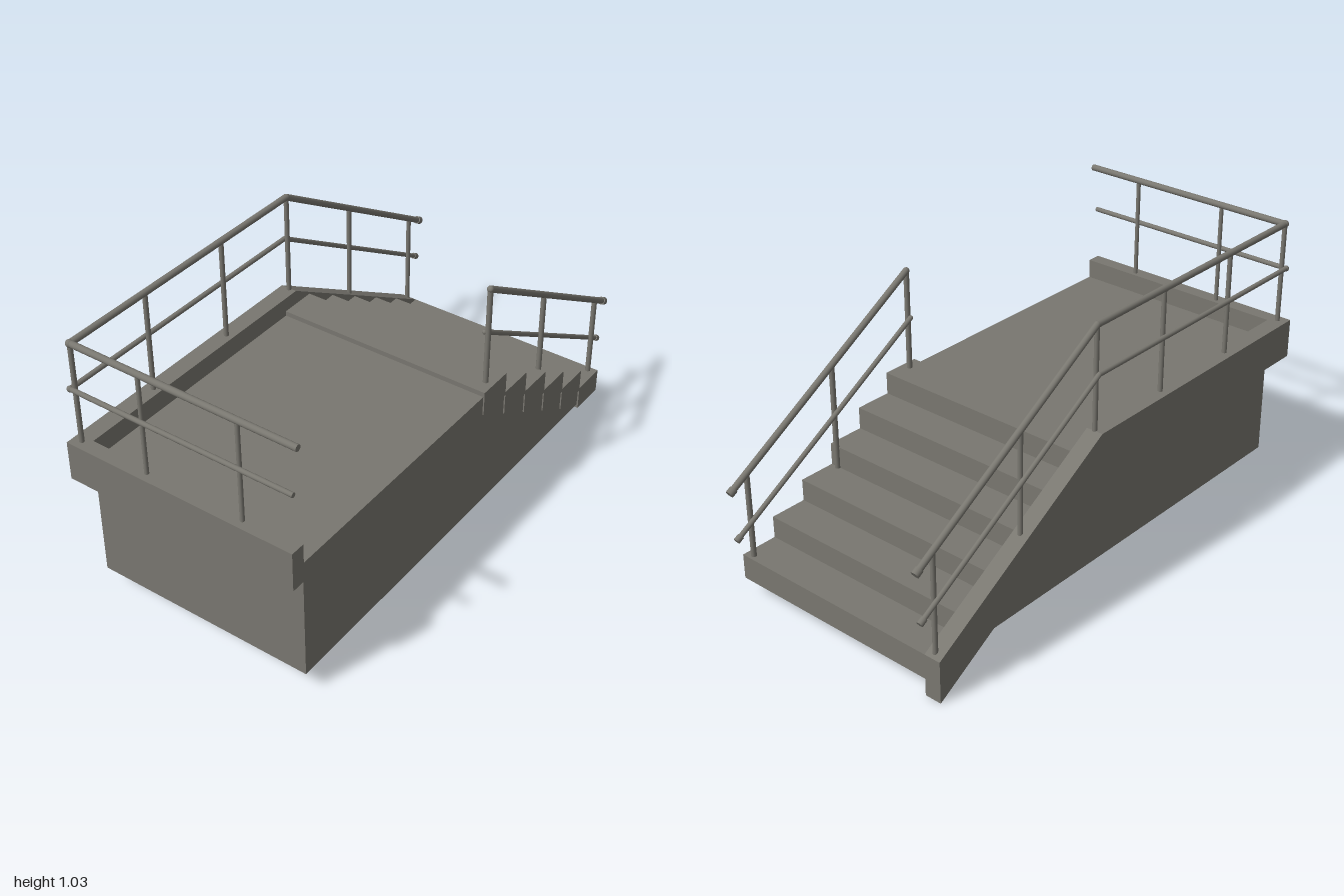
import * as THREE from 'three';

export function createModel() {
  const model = new THREE.Group();
  const concrete = new THREE.MeshStandardMaterial({ color: 0x797770 });
  concrete.name = 'warm grey';

  const add = (name, geometry, parent = model) => {
    const mesh = new THREE.Mesh(geometry, concrete);
    mesh.name = name;
    parent.add(mesh);
    return mesh;
  };

  // box given by its limits
  const block = (name, x0, x1, y0, y1, z0, z1) => {
    const mesh = add(name, new THREE.BoxGeometry(x1 - x0, y1 - y0, z1 - z0));
    mesh.position.set((x0 + x1) / 2, (y0 + y1) / 2, (z0 + z1) / 2);
  };

  // side profile of [z, y] points, extruded along x
  const slab = (name, profile, x0, x1) => {
    const shape = new THREE.Shape(profile.map(([z, y]) => new THREE.Vector2(-z, y)));
    const geometry = new THREE.ExtrudeGeometry(shape, { depth: x1 - x0, bevelEnabled: false });
    geometry.rotateY(Math.PI / 2).translate(x0, 0, 0);
    add(name, geometry);
  };

  // straight pipe between two points
  const pipe = (name, a, b, radius, parent) => {
    const from = new THREE.Vector3(...a), to = new THREE.Vector3(...b);
    const dir = to.clone().sub(from);
    const mesh = add(name, new THREE.CylinderGeometry(radius, radius, dir.length(), 16), parent);
    mesh.position.copy(from).add(to).multiplyScalar(0.5);
    mesh.quaternion.setFromUnitVectors(new THREE.Vector3(0, 1, 0), dir.normalize());
  };

  const joint = (name, p, radius, parent) => {
    add(name, new THREE.SphereGeometry(radius, 16, 10), parent).position.set(...p);
  };

  // landing: thin deck, front kerb and front wall
  block('deck', -0.398, 0.45, 0.54, 0.556, -0.07, 0.945);
  block('frontKerb', -0.463, 0.45, 0.48, 0.63, 0.945, 1);
  block('frontWall', -0.398, 0.45, 0.08, 0.55, 0.94, 0.95);

  // stairs, lowest step first
  const steps = 6, rise = 0.083, run = 0.143;
  const wall = [[0.95, 0.08], [-0.78, 0.08]];
  for (let i = 0; i < steps; i++) {
    const z = -0.925 + i * run, top = 0.16 + i * rise;
    block('step', -0.398, 0.455, top - 0.095, top, z, z + run);
    if (i > 0) wall.push([z, top - 0.05], [z + run, top - 0.05]);
  }
  wall.push([-0.067, 0.55], [0.95, 0.55]);

  // hollow base: thin side walls with a stepped top, open below
  slab('rightWall', wall, 0.44, 0.45);
  slab('leftWall', wall, -0.4, -0.39);

  // side stringer that bends down along the stairs
  slab('stringer', [[0.945, 0.63], [0.945, 0.48], [-0.11, 0.48], [-0.925, 0],
    [-0.925, 0.16], [-0.13, 0.63]], -0.463, -0.398);

  // front railing
  const front = new THREE.Group();
  front.name = 'frontRailing';
  model.add(front);
  pipe('topRail', [-0.427, 1.016, 0.967], [0.458, 1.016, 0.967], 0.012, front);
  pipe('midRail', [-0.44, 0.841, 0.977], [0.444, 0.841, 0.977], 0.009, front);
  for (const x of [-0.15, 0.235]) pipe('post', [x, 0.62, 0.967], [x, 1.016, 0.967], 0.008, front);

  // long railing on the stringer
  const side = new THREE.Group();
  side.name = 'sideRailing';
  model.add(side);
  const bendZ = -0.125, slope = 0.6;
  const railY = (y, z) => y - Math.max(0, bendZ - z) * slope;
  const slopedRail = (name, x, y, endZ, radius, parent) => {
    const end = [x, railY(y, endZ), endZ];
    pipe(name, [x, y, bendZ], end, radius, parent);
    pipe('endCap', [x, railY(y, endZ + 0.02), endZ + 0.02], end, radius + 0.003, parent);
    joint('bend', [x, y, bendZ], radius, parent);
  };
  for (const [name, x, y, z, r] of [['topRail', -0.427, 1.016, 0.967, 0.012],
    ['midRail', -0.44, 0.841, 0.977, 0.009]]) {
    pipe(name, [x, y, z], [x, y, bendZ], r, side);
    joint('corner', [x, y, z], r + 0.002, side);
    slopedRail(name, x, y, -0.983, r, side);
  }
  for (const z of [0.967, 0.62, 0.235, bendZ, -0.5, -0.905]) {
    pipe('post', [-0.427, railY(0.62, z), z], [-0.427, railY(1.016, z), z], 0.009, side);
  }

  // short railing on the open side of the stairs
  const stair = new THREE.Group();
  stair.name = 'stairRailing';
  model.add(stair);
  slopedRail('topRail', 0.422, 0.955, -0.983, 0.012, stair);
  slopedRail('midRail', 0.408, 0.777, -0.983, 0.009, stair);
  for (const [z, base] of [[bendZ, 0.57], [-0.5, 0.32], [-0.905, 0.155]]) {
    pipe('post', [0.422, base, z], [0.422, railY(0.955, z), z], 0.01, stair);
  }
  return model;
}
